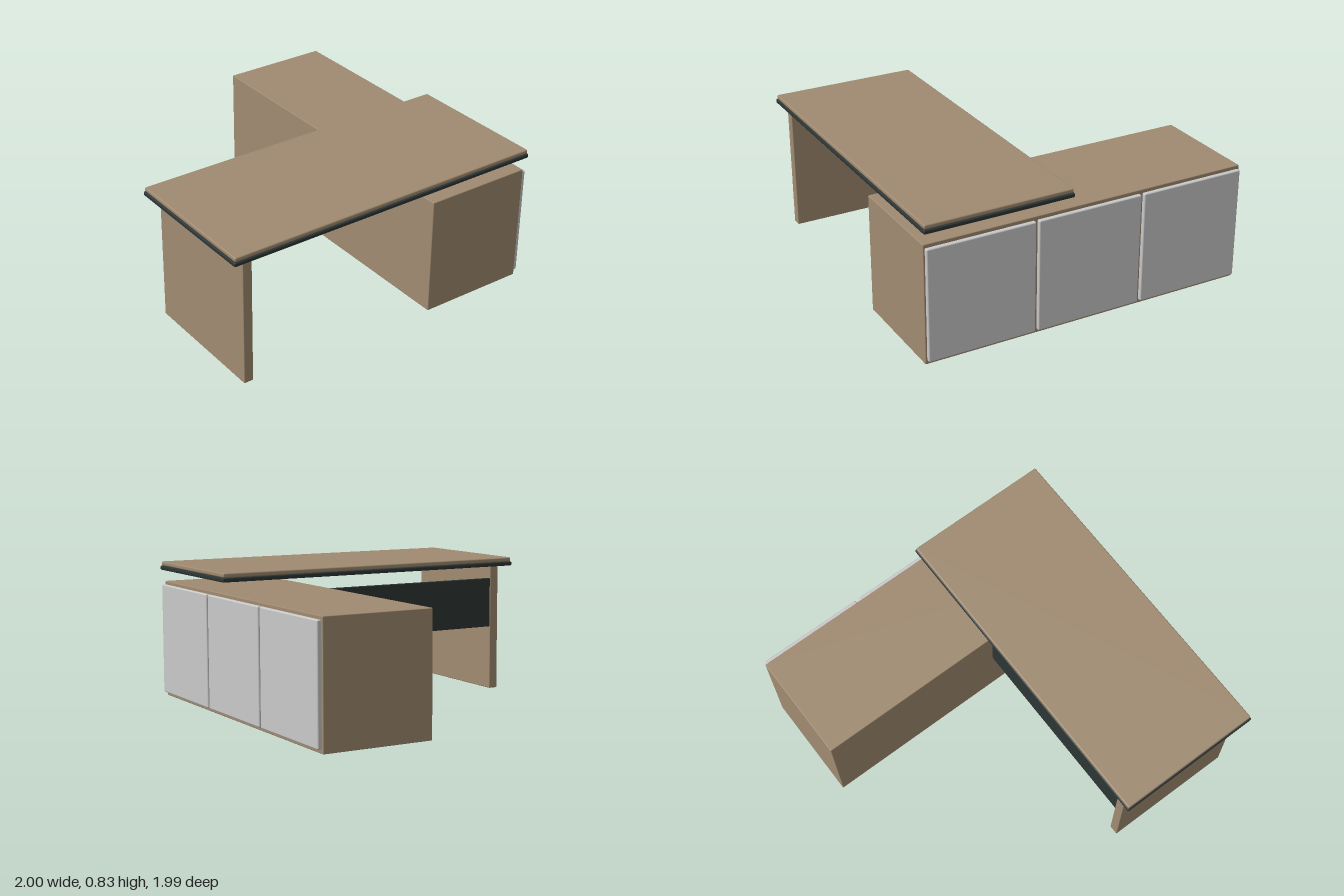
import * as THREE from 'three';
import { RoundedBoxGeometry } from 'three/addons/geometries/RoundedBoxGeometry.js';

function material(name, color) {
  const m = new THREE.MeshStandardMaterial({ color });
  m.name = name;
  return m;
}

export function createModel() {
  const desk = new THREE.Group();
  desk.name = 'cornerDesk';

  const wood = material('wood', 0xa08b71);
  const dark = material('dark panel', 0x2d3635);
  const grey = material('light grey', 0xc9c9c9);

  // Softly bevelled board given by its [min, max] range on each axis
  function board(name, mat, [x0, x1], [y0, y1], [z0, z1], bevel = 0.005) {
    const geometry = new RoundedBoxGeometry(x1 - x0, y1 - y0, z1 - z0, 2, bevel);
    const mesh = new THREE.Mesh(geometry, mat);
    mesh.name = name;
    mesh.position.set((x0 + x1) / 2, (y0 + y1) / 2, (z0 + z1) / 2);
    desk.add(mesh);
  }

  // Two-layer desk top
  board('desktopBase', dark, [-1, 1], [0.778, 0.804], [0.104, 0.996], 0.008);
  board('desktop', wood, [-0.994, 0.994], [0.804, 0.83], [0.109, 0.991], 0.008);

  // Side leg and modesty panel
  board('sideLeg', wood, [-0.925, -0.867], [0, 0.778], [0.15, 0.954]);
  board('modestyPanel', dark, [-0.867, 0.312], [0.395, 0.7], [0.152, 0.18], 0.003);

  // Long side cabinet with three doors on its outer face
  board('cabinet', wood, [0.31, 0.971], [0, 0.709], [-0.996, 0.99]);
  for (let i = -1; i <= 1; i++) {
    const z = -0.002 + i * 0.662;
    board('cabinetDoor', grey, [0.97, 0.998], [0.024, 0.69], [z - 0.322, z + 0.322], 0.008);
  }

  return desk;
}
